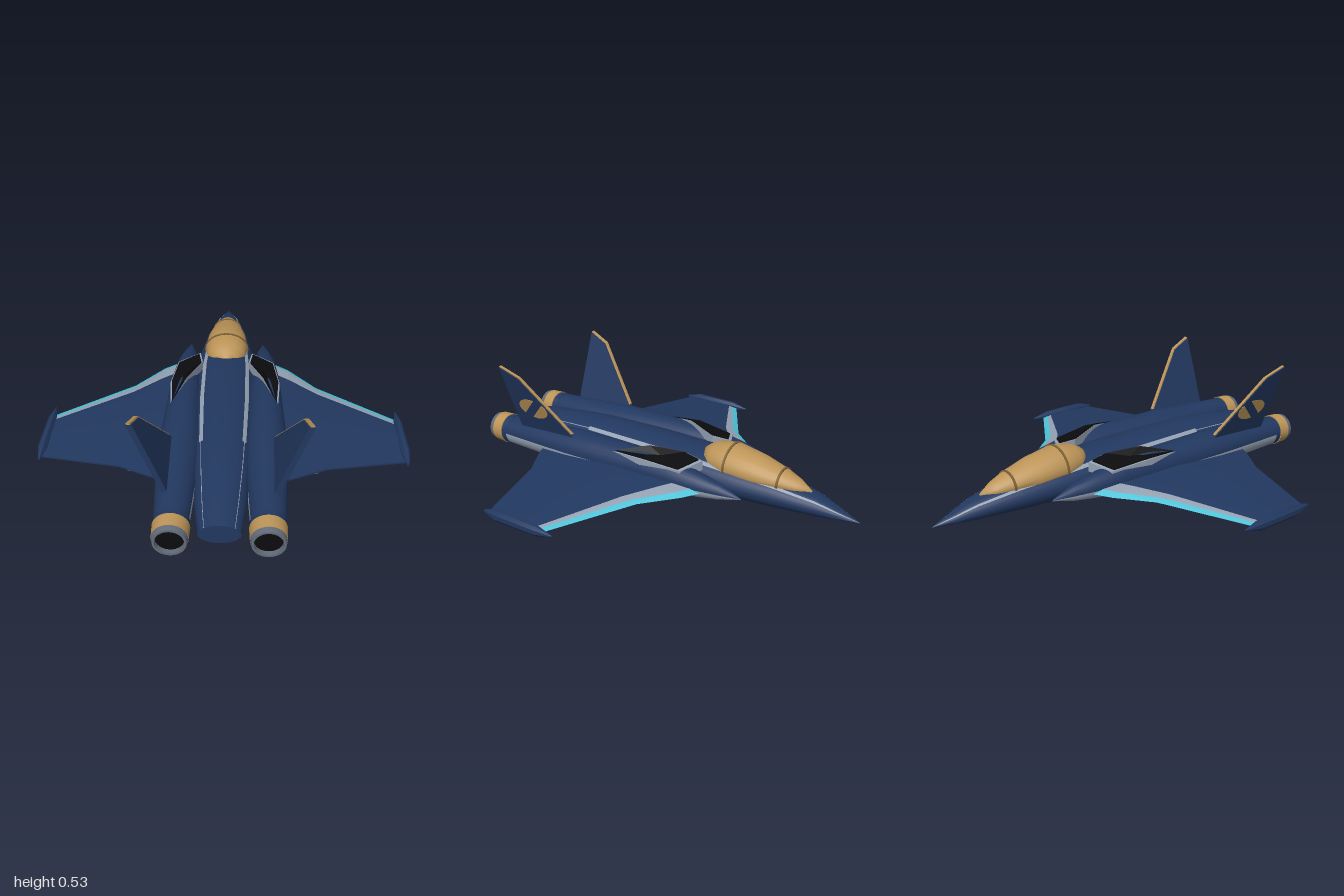
import * as THREE from 'three';
import { toCreasedNormals } from 'three/addons/utils/BufferGeometryUtils.js';

const mat = (name, color, side = THREE.FrontSide) => {
  const m = new THREE.MeshStandardMaterial({ color, side });
  m.name = name;
  return m;
};

export function createModel() {
  const model = new THREE.Group();
  const navy = mat('navy', 0x223860), grey = mat('light grey', 0x95a2b3), gold = mat('gold', 0xbd9558);
  const cyan = mat('cyan', 0x4fc3d9), black = mat('black', 0x0c0c0e, THREE.DoubleSide);
  const steel = mat('steel', 0x626b78), bronze = mat('bronze', 0x7d6136);

  const add = (name, geo, material) => {
    const mesh = new THREE.Mesh(geo, material);
    mesh.name = name;
    model.add(mesh);
    return mesh;
  };

  // Mirrors a geometry across x = 0 and restores the winding
  const mirrored = (geo) => {
    const g = geo.index ? geo.toNonIndexed() : geo.clone();
    g.scale(-1, 1, 1);
    const idx = [];
    for (let i = 0; i < g.attributes.position.count; i += 3) idx.push(i, i + 2, i + 1);
    g.setIndex(idx);
    return g;
  };
  const addPair = (name, geo, material) => {
    add(name + 'Left', geo, material);
    add(name + 'Right', mirrored(geo), material);
  };

  // Skin over closed rings of equal length, with end caps; colourOf(i, j) picks the material slot
  const loft = (rings, colourOf = () => 0, crease = 0.6) => {
    const n = rings[0].length, pos = rings.flat(2), slots = [];
    const put = (slot, ...ids) => (slots[slot] ??= []).push(...ids);
    for (let i = 0; i < rings.length - 1; i++) {
      for (let j = 0; j < n; j++) {
        const k = (j + 1) % n, a = i * n + j, b = i * n + k;
        put(colourOf(i, j), a, b, a + n, b, b + n, a + n);
      }
    }
    for (const end of [0, rings.length - 1]) {
      const ring = rings[end], c = pos.length / 3;
      pos.push(...[0, 1, 2].map((q) => ring.reduce((s, p) => s + p[q], 0) / n));
      for (let j = 0; j < n; j++) {
        const a = end * n + j, b = end * n + ((j + 1) % n);
        if (end) put(0, a, b, c); else put(0, b, a, c);
      }
    }
    const geo = new THREE.BufferGeometry(), index = [];
    slots.forEach((ids, slot) => {
      geo.addGroup(index.length, ids.length, slot);
      for (const id of ids) index.push(id);
    });
    geo.setAttribute('position', new THREE.Float32BufferAttribute(pos, 3));
    geo.setIndex(index);
    return toCreasedNormals(geo, crease);
  };

  // Egg-shaped section from centre x, half width, bottom, widest height and top
  const section = ([z, cx, hw, bot, mid, top], angles) => angles.map((deg) => {
    const a = THREE.MathUtils.degToRad(deg), s = Math.sin(a);
    return [cx + hw * Math.cos(a), mid + s * (s > 0 ? top - mid : mid - bot), z];
  });
  const round = Array.from({ length: 24 }, (_, i) => i * 15);

  // Fuselage with two grey stripes that thin out toward the tail
  const bodyAngles = [...round, 40, 44, 46, 50, 130, 134, 136, 140]
    .filter((a) => a !== 45 && a !== 135).sort((a, b) => a - b);
  const body = [
    [-1, 0, 0.002, 0.028, 0.03, 0.032], [-0.9, 0, 0.037, 0.02, 0.042, 0.07],
    [-0.8, 0, 0.068, 0.012, 0.06, 0.108], [-0.6, 0, 0.112, 0.005, 0.08, 0.15],
    [-0.4, 0, 0.142, 0, 0.09, 0.178], [-0.2, 0, 0.157, 0, 0.1, 0.198],
    [0.1, 0, 0.157, 0, 0.1, 0.207], [0.45, 0, 0.14, 0, 0.1, 0.205],
    [0.6, 0, 0.13, 0.012, 0.1, 0.193], [0.8, 0, 0.11, 0.03, 0.1, 0.172],
    [0.95, 0, 0.09, 0.05, 0.098, 0.148],
  ];
  add('fuselage', loft(body.map((s) => section(s, bodyAngles)), (i, j) => {
    const m = (bodyAngles[j] + (bodyAngles[j + 1] ?? 360)) / 2;
    return Math.abs(Math.abs(90 - m) - 45) < (i < 7 ? 5 : 1.5) ? 1 : 0;
  }), [navy, grey]);

  // Canopy and its two frames
  const canopy = [
    [-0.765, 0, 0.004, 0.1, 0.115, 0.122], [-0.7, 0, 0.045, 0.1, 0.12, 0.16],
    [-0.62, 0, 0.075, 0.1, 0.13, 0.19], [-0.5, 0, 0.102, 0.1, 0.142, 0.226],
    [-0.36, 0, 0.114, 0.1, 0.157, 0.252], [-0.27, 0, 0.098, 0.1, 0.165, 0.24],
    [-0.23, 0, 0.07, 0.1, 0.165, 0.22], [-0.205, 0, 0.03, 0.1, 0.165, 0.2],
  ];
  add('canopy', loft(canopy.map((s) => section(s, round)), undefined, 1), gold);
  for (const [z, cx, hw, bot, mid, top] of [canopy[2], canopy[4]]) {
    const rings = [-0.005, 0.005].map((d) => section([z + d, cx, hw + 0.004, bot, mid, top + 0.004], round));
    add('canopyFrame', loft(rings), bronze);
  }

  // Engine nacelles, grey underneath
  const nacelle = [
    [-0.51, 0.2, 0.002, 0.088, 0.09, 0.092], [-0.4, 0.2, 0.035, 0.06, 0.095, 0.135],
    [-0.3, 0.205, 0.055, 0.048, 0.1, 0.16], [-0.15, 0.205, 0.072, 0.035, 0.105, 0.188],
    [0, 0.2, 0.085, 0.028, 0.108, 0.2], [0.3, 0.2, 0.096, 0.02, 0.11, 0.2],
    [0.45, 0.2, 0.1, 0.02, 0.11, 0.198], [0.7, 0.2, 0.088, 0.022, 0.105, 0.182],
    [0.9, 0.2, 0.075, 0.025, 0.1, 0.172],
  ];
  addPair('nacelle', loft(nacelle.map((s) => section(s, round)),
    (i, j) => (j >= 11 ? 1 : 0)), [navy, grey]);

  // Exhaust nozzles, turned around the engine axis
  const turned = (pts) => toCreasedNormals(
    new THREE.LatheGeometry(pts.map((p) => new THREE.Vector2(...p)), 32)
      .rotateX(Math.PI / 2).translate(0.2, 0.098, 0), 0.6);
  addPair('nozzleCollar', turned([[0.06, 0.88], [0.077, 0.88], [0.077, 0.91], [0.06, 0.91]]), navy);
  addPair('nozzleBand', turned([[0.06, 0.91], [0.08, 0.912], [0.077, 0.975], [0.06, 0.976]]), gold);
  addPair('nozzleLip', turned([[0.076, 0.975], [0.071, 1], [0.061, 1], [0.059, 0.93]]), steel);
  addPair('nozzleBore', new THREE.CircleGeometry(0.061, 32).translate(0.2, 0.098, 0.978), black);

  // Wings: x, leading z, trailing z, height, thickness, cyan width, grey width
  const wing = [
    [0.2, -0.36, 0.64, 0.09, 0.07, 0.04, 0.09], [0.33, -0.27, 0.59, 0.085, 0.06, 0.04, 0.085],
    [0.47, -0.125, 0.515, 0.073, 0.045, 0.035, 0.045], [0.85, 0.1, 0.42, 0.042, 0.022, 0.03, 0.02],
  ].map(([x, le, te, y, t, c, g]) => {
    const mid = (le + te) / 2, h = t / 2;
    return [
      [x, y, le], [x, y + h * 0.5, le + c], [x, y + h * 0.75, le + c + g], [x, y + h, mid],
      [x, y + 0.004, te], [x, y - 0.004, te], [x, y - h, mid], [x, y - h * 0.5, le + c],
    ];
  });
  addPair('wing', loft(wing, (i, j) => [1, 2, 0, 0, 0, 0, 0, 1][j], 0.3), [navy, cyan, grey]);

  // Wing tip rails
  const octagon = Array.from({ length: 8 }, (_, i) => 22.5 + i * 45);
  const rail = [[0.04, 0.003], [0.13, 0.021], [0.36, 0.023], [0.44, 0.006]];
  addPair('tipRail', loft(rail.map(([z, r]) =>
    section([z, 0.857, r, 0.045 - r * 1.3, 0.045, 0.045 + r * 1.3], octagon))), navy);

  // Twin missiles under each wing with their pylon
  for (const x of [0.37, 0.43]) {
    const rocket = [[0.02, 0.002], [0.07, 0.014], [0.1, 0.019], [0.43, 0.019], [0.48, 0.011]];
    addPair('missile', loft(rocket.map(([z, r]) =>
      section([z, x, r, 0.026 - r, 0.026, 0.026 + r], round))), steel);
  }
  addPair('pylon', new THREE.BoxGeometry(0.02, 0.04, 0.22).translate(0.4, 0.045, 0.26), steel);
  addPair('pylonBar', new THREE.BoxGeometry(0.07, 0.012, 0.1).translate(0.4, 0.028, 0.26), steel);

  // Canted fins: side outlines in z and y, leaned outward
  const finPlate = (pts, width, offset = 0) => {
    const geo = new THREE.ExtrudeGeometry(new THREE.Shape(pts.map((p) => new THREE.Vector2(...p))),
      { depth: width, bevelEnabled: false });
    geo.translate(0, 0, -width / 2).rotateY(-Math.PI / 2);
    const p = geo.attributes.position;
    for (let i = 0; i < p.count; i++) p.setX(i, p.getX(i) + offset + 0.248 + 0.36 * (p.getY(i) - 0.2));
    geo.clearGroups();
    geo.computeVertexNormals();
    return geo;
  };
  addPair('fin', finPlate([[0.78, 0.14], [0.78, 0.522], [0.673, 0.477], [0.44, 0.195], [0.4, 0.14]], 0.026), navy);
  addPair('finEdge', finPlate([[0.44, 0.195], [0.673, 0.477], [0.78, 0.522], [0.78, 0.528],
    [0.669, 0.482], [0.433, 0.197]], 0.016), gold);

  // Split oval marking on the outer face of each fin
  for (const start of [-43, 137]) {
    const arc = Array.from({ length: 17 }, (_, i) => {
      const a = THREE.MathUtils.degToRad(start + (i / 16) * 146);
      return [0.64 + 0.092 * Math.cos(a), 0.304 + 0.054 * Math.sin(a)];
    });
    addPair('finOval', finPlate(arc, 0.004, 0.014), gold);
  }

  // Black shoulder vents: raised plates inside a grey rim
  const outline = [[0.14, 0.195, -0.25], [0.125, 0.203, -0.16], [0.19, 0.222, 0],
    [0.255, 0.18, 0.16], [0.268, 0.19, 0], [0.245, 0.172, -0.2]];
  const ventRing = (grow, dy) => outline.map(([x, y, z]) =>
    [0.2 + (x - 0.2) * grow, y + dy, -0.06 + (z + 0.06) * grow]);
  addPair('ventRim', loft([ventRing(1.08, -0.05), ventRing(1.08, -0.003)], undefined, 0.2), grey);
  addPair('vent', loft([ventRing(0.98, -0.02), ventRing(0.98, 0.004)], undefined, 0.2), black);

  return model;
}
